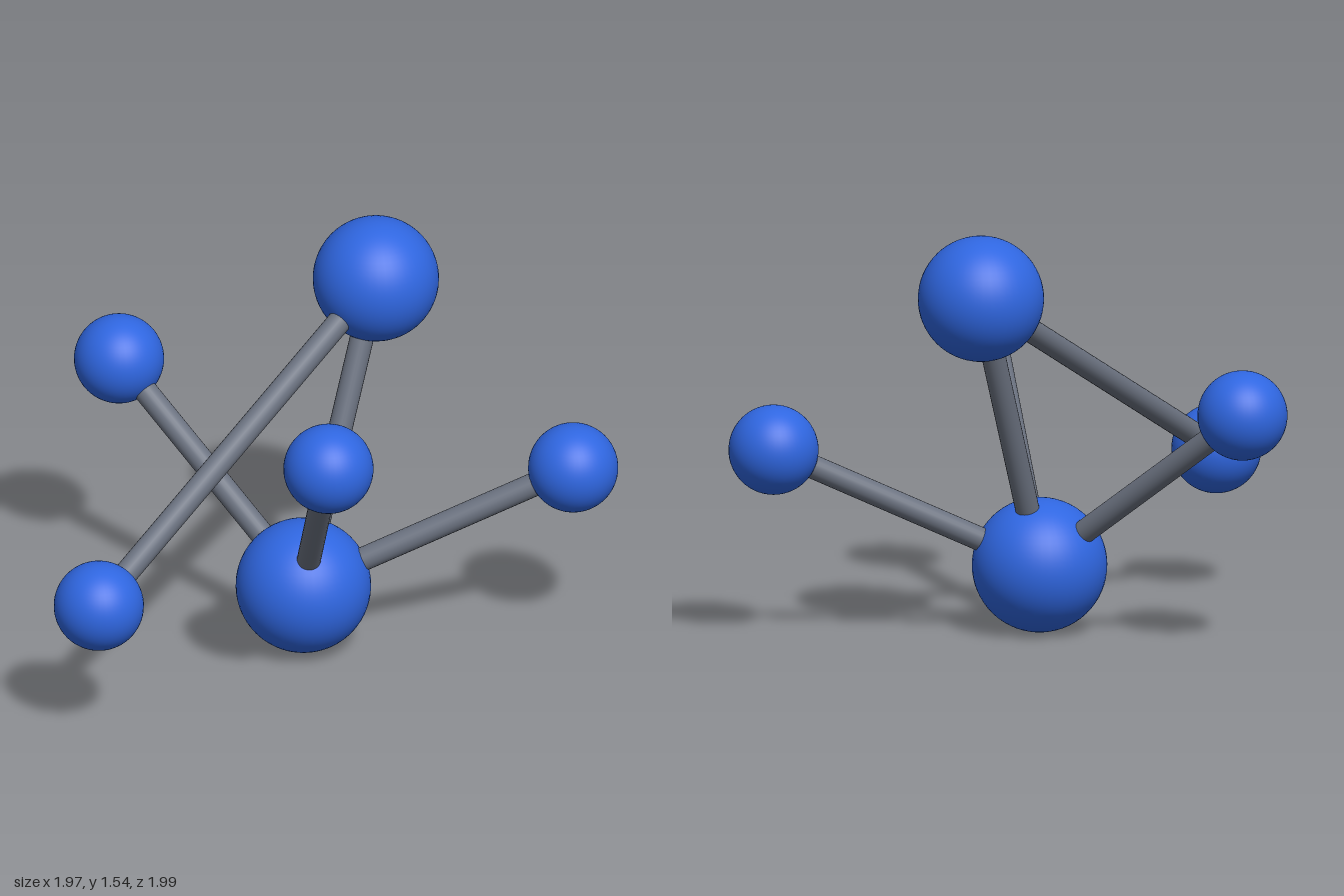
import * as THREE from 'three';

export function createModel() {
  const model = new THREE.Group();
  model.name = 'moleculeModel';
  const blue = new THREE.MeshStandardMaterial({ name: 'atomBlue', color: 0x2f66e0 });
  const grey = new THREE.MeshStandardMaterial({ name: 'bondGrey', color: 0x6b7280 });
  const bondRadius = 0.044;

  // Atoms: centre and radius
  const atoms = {
    baseAtom: { at: [0.214, 0.248, 0.045], r: 0.248 },
    topAtom: { at: [0.675, 1.313, 0.045], r: 0.231 },
    frontLeftAtom: { at: [0.816, 0.707, 0.828], r: 0.165 },
    backAtom: { at: [0.293, 0.892, -0.835], r: 0.165 },
    frontRightAtom: { at: [-0.316, 1.071, 0.53], r: 0.165 },
    rightAtom: { at: [-0.822, 0.527, -0.141], r: 0.165 },
  };
  for (const [name, { at, r }] of Object.entries(atoms)) {
    const atom = new THREE.Mesh(new THREE.SphereGeometry(r, 48, 32), blue);
    atom.name = name;
    atom.position.set(...at);
    model.add(atom);
  }

  // Bonds: rods running from centre to centre
  const bonds = [
    ['baseAtom', 'topAtom'],
    ['baseAtom', 'frontLeftAtom'],
    ['baseAtom', 'backAtom'],
    ['baseAtom', 'frontRightAtom'],
    ['topAtom', 'rightAtom'],
  ];
  for (const [from, to] of bonds) {
    const a = new THREE.Vector3(...atoms[from].at);
    const b = new THREE.Vector3(...atoms[to].at);
    const dir = b.clone().sub(a);
    const bond = new THREE.Mesh(
      new THREE.CylinderGeometry(bondRadius, bondRadius, dir.length(), 24), grey);
    bond.name = `${from}To${to[0].toUpperCase()}${to.slice(1)}Bond`;
    bond.position.copy(a).lerp(b, 0.5);
    bond.quaternion.setFromUnitVectors(new THREE.Vector3(0, 1, 0), dir.normalize());
    model.add(bond);
  }
  return model;
}
